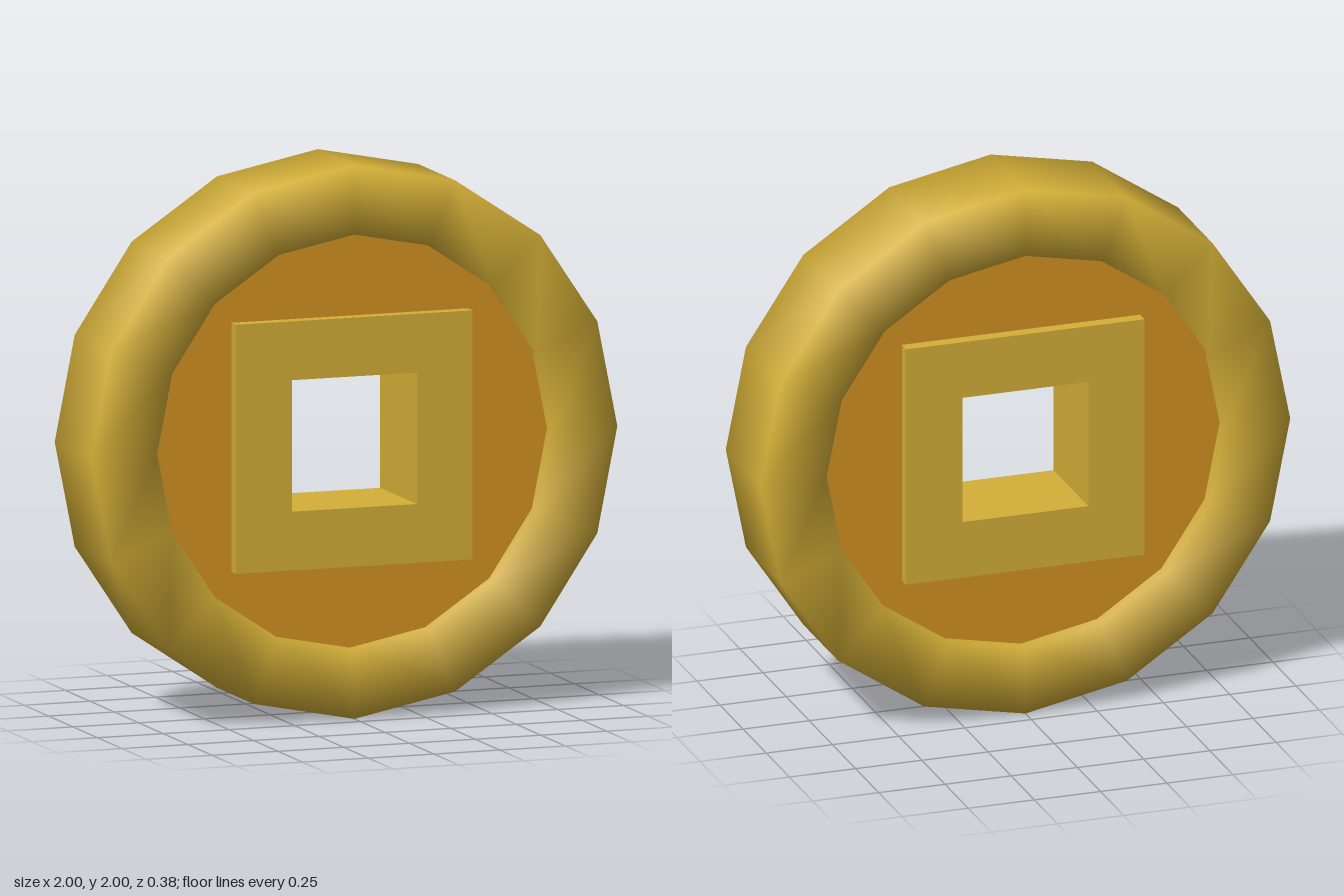
import * as THREE from 'three';

const SIDES = 16, OUTER = 1, INNER = 0.75, HALF = 0.1875, DISC_HALF = 0.14;
const PLATE = 0.45, HOLE = 0.2375;

// Square outline, used for the frame and for holes
function square(half, Type = THREE.Shape) {
  return new Type([[-half, -half], [half, -half], [half, half], [-half, half]]
    .map(([x, y]) => new THREE.Vector2(x, y)));
}

// Flat slab with a square hole, centred on z = 0
function slab(shape, holeHalf, halfDepth) {
  shape.holes.push(square(holeHalf, THREE.Path));
  return new THREE.ExtrudeGeometry(shape, { depth: halfDepth * 2, bevelEnabled: false })
    .translate(0, 0, -halfDepth);
}

export function createModel() {
  const gold = new THREE.MeshStandardMaterial({ color: 0xd4af37 });
  gold.name = 'gold';
  const amber = new THREE.MeshStandardMaterial({ color: 0xd39222 });
  amber.name = 'amber';

  const model = new THREE.Group();
  model.name = 'coin';
  const add = (name, geometry, material) => {
    const mesh = new THREE.Mesh(geometry, material);
    mesh.name = name;
    mesh.position.y = 1;
    model.add(mesh);
  };

  // Rim: square section with softly shaded corners
  const profile = [[INNER, 0], [INNER, -HALF], [OUTER, -HALF], [OUTER, HALF], [INNER, HALF], [INNER, 0]]
    .map(([r, h]) => new THREE.Vector2(r, h));
  add('rim', new THREE.LatheGeometry(profile, SIDES).rotateX(Math.PI / 2), gold);

  // Recessed disc, cut away where the frame passes through
  const outline = new THREE.Shape(Array.from({ length: SIDES }, (_, i) => {
    const a = (i / SIDES) * Math.PI * 2;
    return new THREE.Vector2(Math.cos(a) * INNER, Math.sin(a) * INNER);
  }));
  add('disc', slab(outline, PLATE, DISC_HALF), amber);

  // Raised square frame around the central hole
  add('squareFrame', slab(square(PLATE), HOLE, HALF), gold);

  return model;
}
